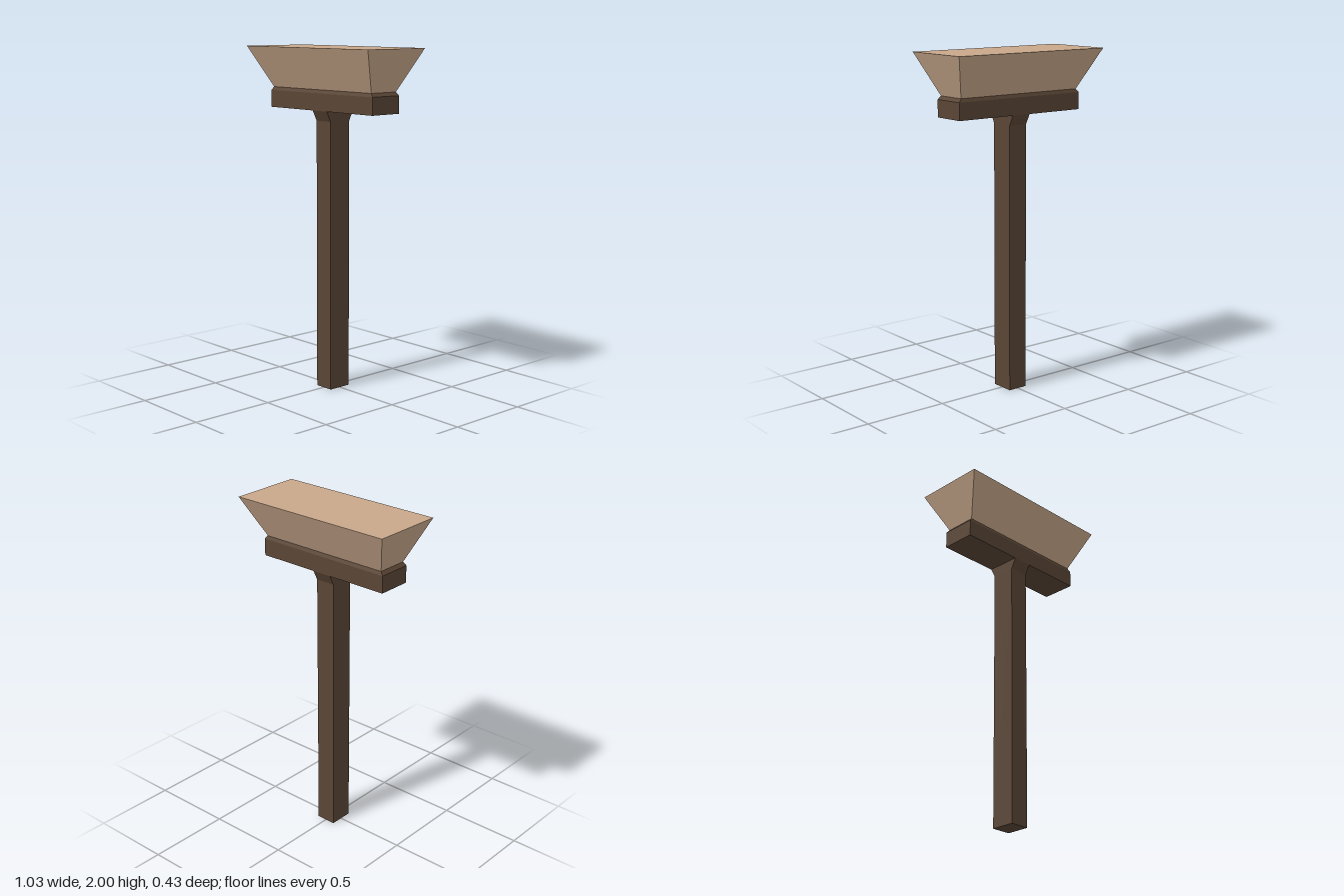
import * as THREE from 'three';

const wood = new THREE.MeshStandardMaterial({ color: 0x5a4535, flatShading: true });
const straw = new THREE.MeshStandardMaterial({ color: 0xc8a88b, flatShading: true });

// Stack of rectangular sections, each [y, half width, half depth], listed bottom to top.
function sectionedBlock(name, sections, material) {
  const geometry = new THREE.BoxGeometry(2, 1, 2, 1, sections.length - 1, 1);
  const p = geometry.attributes.position;
  for (let i = 0; i < p.count; i++) {
    const row = Math.round((p.getY(i) + 0.5) * (sections.length - 1));
    const [y, hx, hz] = sections[row];
    p.setXYZ(i, p.getX(i) * hx, y, p.getZ(i) * hz);
  }
  geometry.computeVertexNormals();
  const mesh = new THREE.Mesh(geometry, material);
  mesh.name = name;
  return mesh;
}

export function createModel() {
  const group = new THREE.Group();
  group.name = 'pushBroom';
  group.add(
    // Square handle, flaring in depth where it meets the head
    sectionedBlock('handle', [[0, 0.06, 0.072], [1.58, 0.06, 0.072], [1.64, 0.06, 0.102]], wood),
    // Broom head with a chamfered upper edge
    sectionedBlock('head', [[1.64, 0.433, 0.102], [1.74, 0.433, 0.102], [1.76, 0.416, 0.094]], wood),
    // Bristles spreading outward from the head
    sectionedBlock('bristles', [[1.76, 0.416, 0.094], [2, 0.516, 0.217]], straw)
  );
  return group;
}
